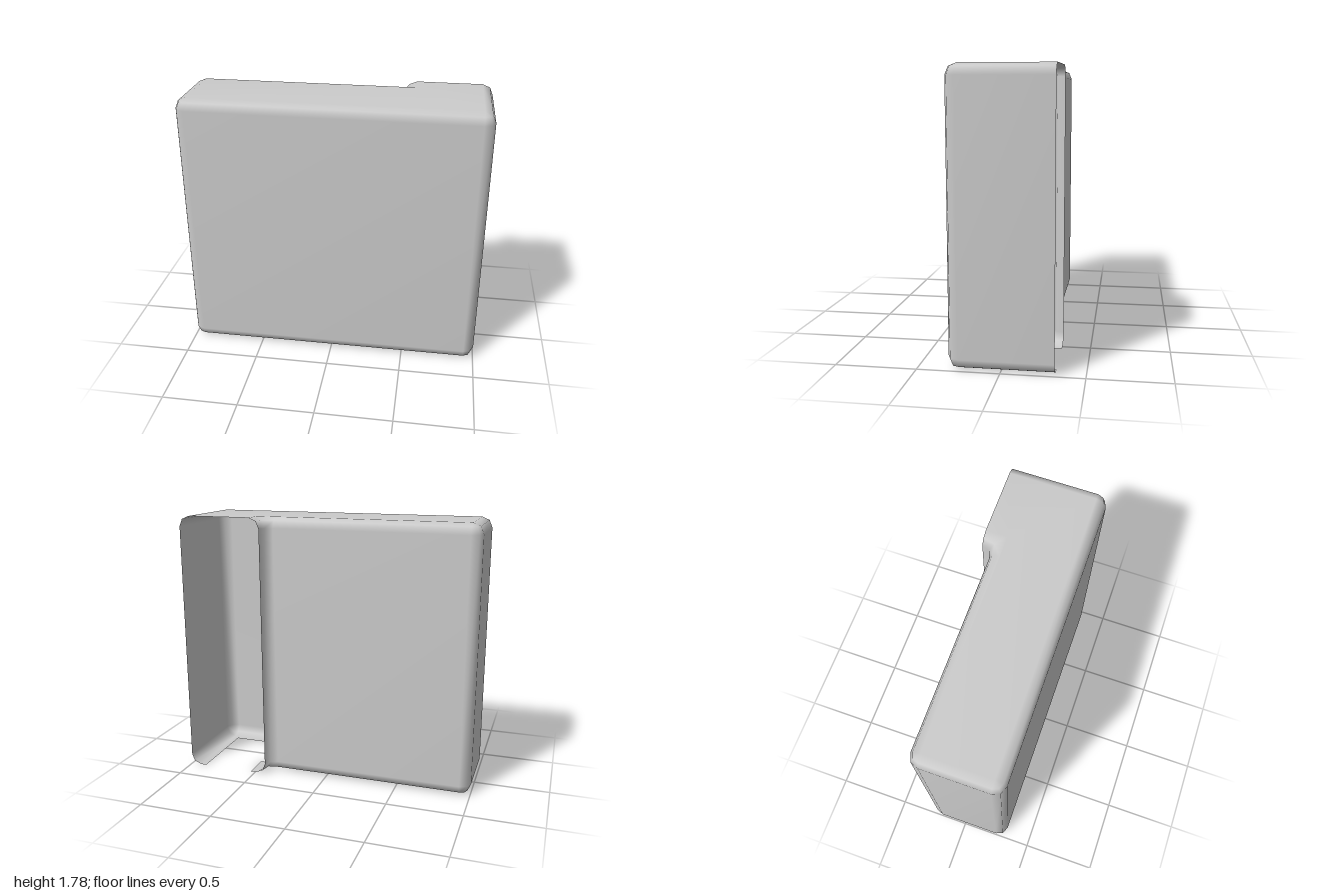
import * as THREE from 'three';
import { mergeVertices } from 'three/addons/utils/BufferGeometryUtils.js';

const H = 1.785, R = 0.07, LIP = 0.04;

// Plan outline, open at the rear of the deeper bay.
// Each point: inner edge of the rounding, outer wall, direction of the bottom lip.
function planOutline() {
  const pts = [];
  const add = (cx, cz, ox, oz, lx, lz) => pts.push({ cx, cz, ox, oz, lx, lz });
  const corner = (cx, cz, start) => {
    for (let k = 0; k < 3; k++) {
      const a = start + k * Math.PI / 4;
      add(cx, cz, cx + R * Math.cos(a), cz + R * Math.sin(a), -Math.sign(cx), cz > 0 ? -1 : 1);
    }
  };
  add(0.93, -0.32, 1, -0.32, -1, 0);
  corner(0.93, 0.25, 0);
  corner(-0.93, 0.25, Math.PI / 2);
  corner(-0.93, -0.18, Math.PI);
  // concave step into the deeper bay
  add(0.355, -0.18, 0.355, -0.25, 0, 1);
  add(0.495, -0.18, 0.405, -0.27, 1, 1);
  add(0.495, -0.32, 0.425, -0.32, 1, 0);
  return pts;
}

function shellGeometry() {
  const path = planOutline(), n = path.length;
  const pos = [], index = [];

  // flat lip around the open bottom
  for (const p of path) pos.push(p.cx + p.lx * LIP, 0, p.cz + p.lz * LIP);

  // rounded lower edge, wall, rounded upper edge
  const ring = (angle, y) => {
    const s = Math.sin(angle);
    for (const p of path) pos.push(p.cx + (p.ox - p.cx) * s, y, p.cz + (p.oz - p.cz) * s);
  };
  const angles = [0, Math.PI / 4, Math.PI / 2];
  for (const a of angles) ring(a, R * (1 - Math.cos(a)));
  for (const a of [...angles].reverse()) ring(a, H - R * (1 - Math.cos(a)));

  const rings = pos.length / 3 / n;
  for (let j = 0; j < rings - 1; j++) {
    for (let i = 0; i < n - 1; i++) {
      const a = j * n + i, b = a + 1, c = a + n, d = c + 1;
      index.push(a, c, b, b, c, d);
    }
  }

  // flat top, fanned from the inner corner of the step
  const top = (rings - 1) * n, hub = n - 2;
  for (let k = 1; k < n - 1; k++) {
    index.push(top + hub, top + (hub + k + 1) % n, top + (hub + k) % n);
  }

  const geo = new THREE.BufferGeometry();
  geo.setAttribute('position', new THREE.Float32BufferAttribute(pos, 3));
  geo.setIndex(index);
  const welded = mergeVertices(geo, 1e-4);
  welded.computeVertexNormals();
  return welded;
}

export function createModel() {
  const group = new THREE.Group();
  group.name = 'openCasing';
  const shell = new THREE.Mesh(
    shellGeometry(),
    new THREE.MeshStandardMaterial({ color: 0xcccccc, side: THREE.DoubleSide })
  );
  shell.name = 'casingShell';
  group.add(shell);
  return group;
}
